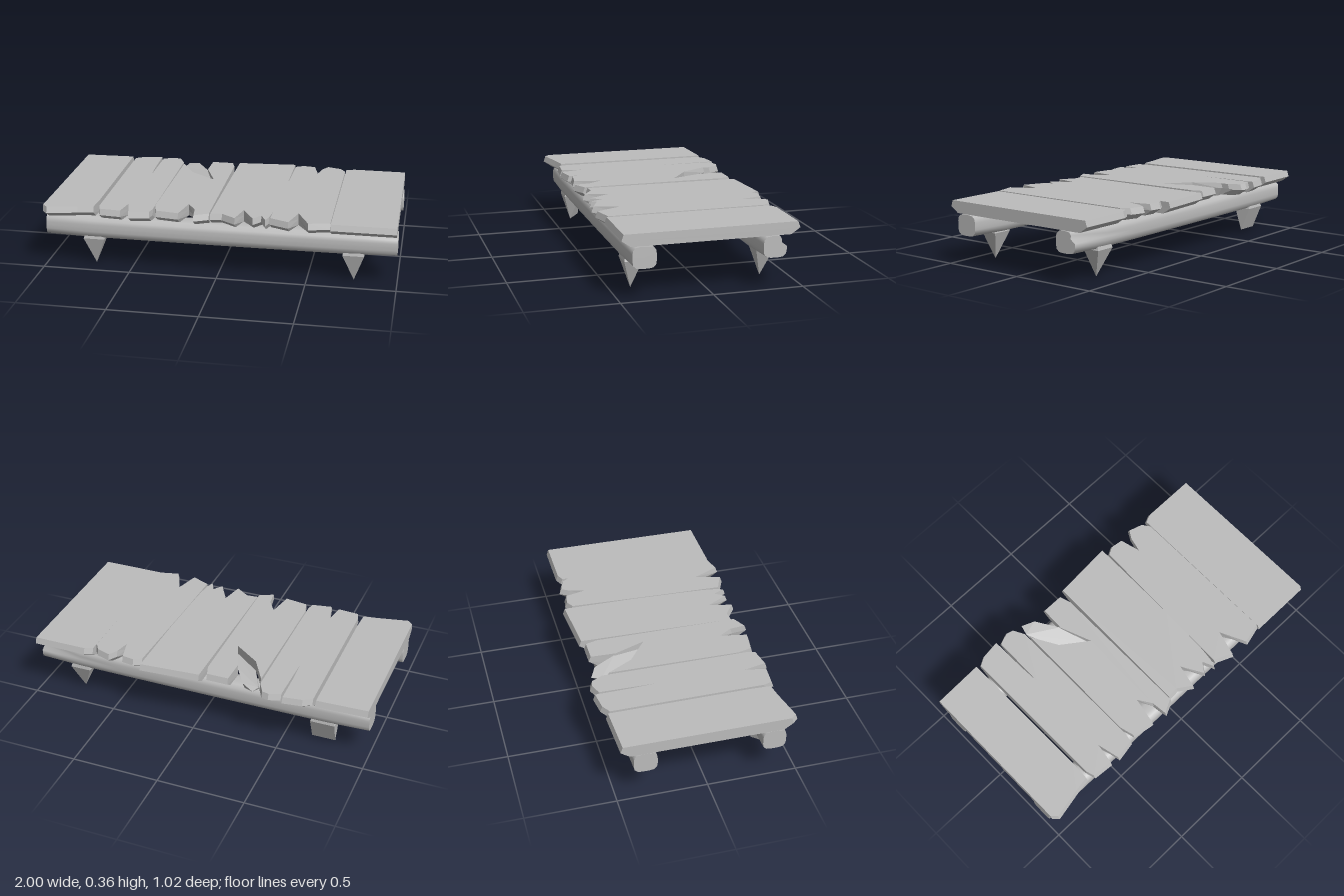
import * as THREE from 'three';
import { ConvexGeometry } from 'three/addons/geometries/ConvexGeometry.js';

const grey = new THREE.MeshStandardMaterial({ color: 0xbcbcbc });
grey.name = 'plainGrey';

const TOP = 0.37, THICK = 0.068;

// A plank is an outline in (x, z), widest at mid thickness and undercut at both ends.
function plank(outline, lift = 0) {
  const shape = new THREE.Shape(outline.map(([x, z]) => new THREE.Vector2(x, z)));
  const geo = new THREE.ExtrudeGeometry(shape, { depth: THICK, steps: 2, bevelEnabled: false });
  geo.rotateX(Math.PI / 2).translate(0, TOP + lift, 0);
  const p = geo.attributes.position;
  for (let i = 0; i < p.count; i++) {
    const t = (TOP + lift - p.getY(i)) / THICK;
    const z = p.getZ(i);
    const inset = t < 0.25 ? 0.012 : t > 0.75 ? 0.05 : 0;
    if (Math.abs(z) > 0.4) p.setZ(i, z - Math.sign(z) * inset);
  }
  geo.computeVertexNormals();
  return geo;
}

// A squared log along x; splay pulls the outer side of the +x end outwards.
function beam(z0, splay) {
  const geo = new THREE.CylinderGeometry(1, 1, 2, 20, 8);
  geo.rotateZ(-Math.PI / 2);
  const p = geo.attributes.position;
  for (let i = 0; i < p.count; i++) {
    const x = p.getX(i), y = p.getY(i), z = p.getZ(i);
    const r = Math.hypot(y, z);
    const k = r < 1e-5 ? 0 : r / Math.pow(y ** 4 + z ** 4, 0.25);
    const end = Math.abs(x) > 0.9 ? 0.92 : 1;
    let nz = z0 + z * k * 0.07 * end;
    if (x > 0.9 && z * z0 > 0 && y > 0) nz += splay * Math.abs(z);
    p.setXYZ(i, x * 0.995, 0.24 + y * k * 0.064 * end - 0.004 * (1 - x * x), nz);
  }
  geo.computeVertexNormals();
  return geo;
}

// A splintered spike: a rectangular root narrowing to its tip points.
function spike(x, z, w, d, tips) {
  const pts = tips.map((t) => new THREE.Vector3(...t));
  for (const sx of [-1, 1]) for (const sz of [-1, 1]) {
    pts.push(new THREE.Vector3(x + sx * w, 0.17, z + sz * d));
    pts.push(new THREE.Vector3(x + sx * w * 0.8, 0.21, z + sz * d * 0.8));
  }
  return new ConvexGeometry(pts);
}

export function createModel() {
  const model = new THREE.Group();
  model.name = 'brokenPlatform';
  const add = (name, geo) => {
    const mesh = new THREE.Mesh(geo, grey);
    mesh.name = name;
    model.add(mesh);
  };

  // Deck boards from right (-x) to left (+x), with split ends
  const boards = [
    [[-1, -0.475], [-0.71, -0.485], [-0.705, 0.32], [-0.71, 0.45], [-0.8, 0.465], [-0.97, 0.5], [-1, 0.47]],
    [[-0.69, -0.47], [-0.64, -0.5], [-0.53, -0.515], [-0.527, -0.3], [-0.52, -0.17], [-0.515, -0.49], [-0.45, -0.515],
      [-0.41, -0.505], [-0.375, -0.44], [-0.375, 0.42], [-0.385, 0.47], [-0.5, 0.49], [-0.53, 0.35], [-0.55, 0.48],
      [-0.67, 0.47], [-0.685, 0.42]],
    [[-0.365, -0.4], [-0.28, -0.24], [-0.13, -0.13], [-0.2, -0.31], [-0.195, -0.465], [-0.07, -0.465], [-0.05, -0.4],
      [-0.05, 0.45], [-0.13, 0.49], [-0.14, 0.4], [-0.19, 0.31], [-0.22, 0.475], [-0.35, 0.455], [-0.372, 0.36]],
    [[-0.03, -0.485], [0.315, -0.51], [0.31, 0.05], [0.295, 0.35], [0.285, 0.44], [0.27, 0.485], [0.24, 0.42],
      [0.2, 0.475], [0.13, 0.34], [0.1, 0.485], [0.02, 0.43], [-0.045, 0.435]],
    [[0.325, -0.46], [0.37, -0.485], [0.44, -0.475], [0.47, -0.345], [0.49, -0.44], [0.52, -0.49], [0.6, -0.465],
      [0.63, -0.42], [0.628, 0.48], [0.51, 0.51], [0.44, 0.35], [0.4, 0.505], [0.295, 0.46], [0.305, 0.1]],
    [[0.634, -0.46], [0.68, -0.48], [0.99, -0.48], [0.99, 0.49], [0.63, 0.49]],
  ];
  boards.forEach((b, i) => add(`plank${i + 1}`, plank(b, i % 2 ? -0.002 : 0.002)));

  // Sloping splinter left in the broken board
  add('plankSplinter', new ConvexGeometry([
    [-0.365, 0.34, -0.43], [-0.35, 0.345, -0.485], [-0.28, 0.36, -0.45], [-0.2, 0.36, -0.32], [-0.13, 0.33, -0.14],
    [-0.28, 0.31, -0.24], [-0.36, 0.31, -0.4], [-0.28, 0.31, -0.42],
  ].map((v) => new THREE.Vector3(...v))));

  // Bearers under the deck
  add('frontBeam', beam(0.37, 0));
  add('backBeam', beam(-0.34, 0.03));

  // Splintered feet
  add('frontRightFoot', spike(-0.72, 0.38, 0.06, 0.05, [[-0.72, 0.01, 0.385], [-0.72, 0.04, 0.335]]));
  add('frontLeftFoot', spike(0.755, 0.38, 0.06, 0.05, [[0.76, 0.012, 0.385]]));
  add('backRightFoot', spike(-0.73, -0.35, 0.07, 0.05, [[-0.795, 0.035, -0.345], [-0.66, 0.035, -0.345]]));
  add('backLeftFoot', spike(0.75, -0.355, 0.06, 0.05, [[0.755, 0.015, -0.345]]));

  // Stand on the ground
  model.position.y = -0.01;
  return model;
}
